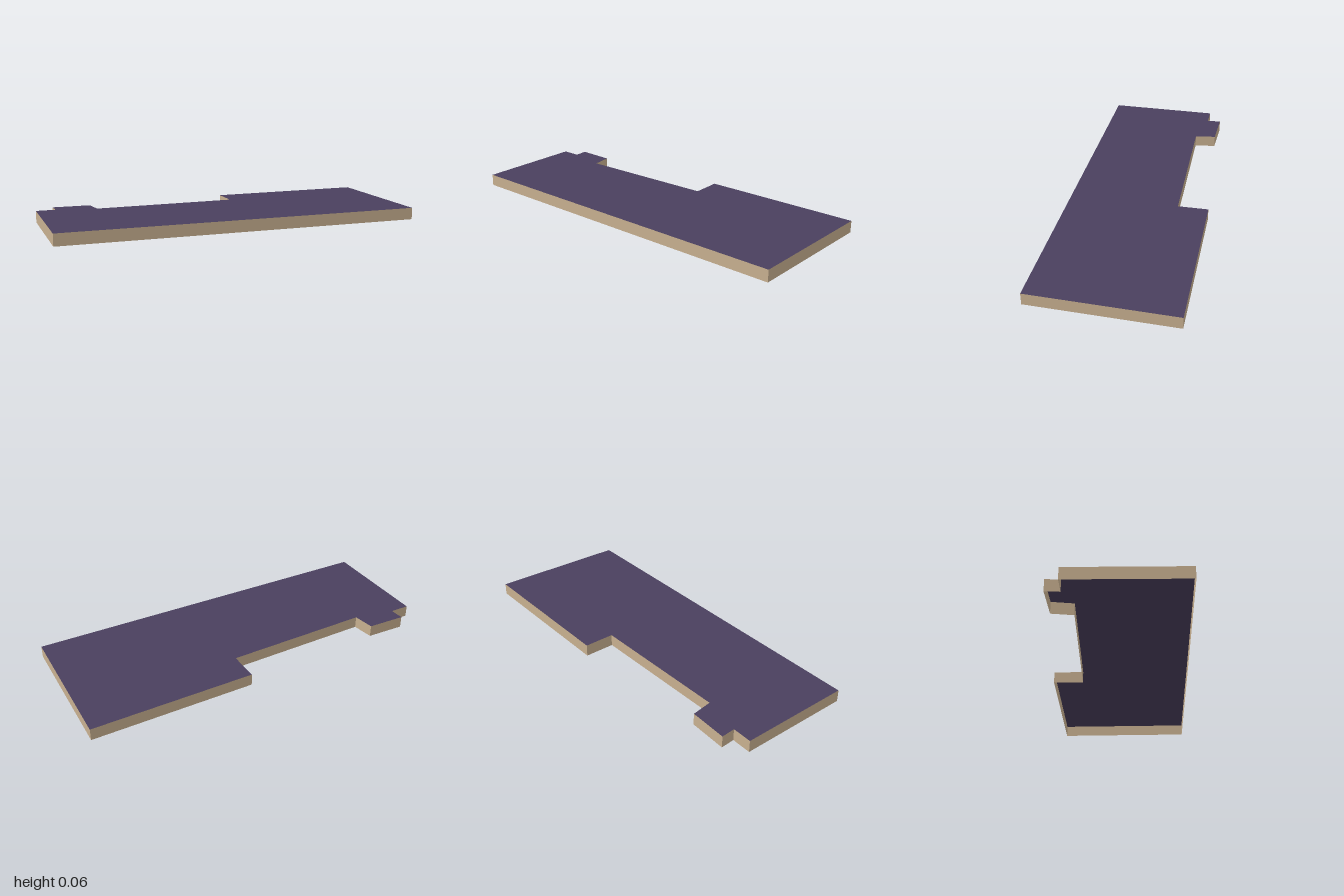
import * as THREE from 'three';

const HEIGHT = 0.062;

// Footprint corners as [x, z], clockwise seen from above
const OUTLINE = [
  [-0.914, -0.418], [-0.813, -0.401], [-0.807, -0.475], [-0.61, -0.437], [-0.61, -0.325],
  [0.144, -0.221], [0.166, -0.378], [1, -0.25], [0.875, 0.475], [-1, 0.163],
];

// Open ring of upright panels, one flat panel per footprint edge
function wallGeometry() {
  const positions = [];
  OUTLINE.forEach(([ax, az], i) => {
    const [bx, bz] = OUTLINE[(i + 1) % OUTLINE.length];
    positions.push(bx, 0, bz, ax, 0, az, ax, HEIGHT, az);
    positions.push(bx, 0, bz, ax, HEIGHT, az, bx, HEIGHT, bz);
  });
  const geometry = new THREE.BufferGeometry();
  geometry.setAttribute('position', new THREE.Float32BufferAttribute(positions, 3));
  geometry.computeVertexNormals();
  return geometry;
}

// Flat sheet covering the footprint
function roofGeometry() {
  const shape = new THREE.Shape(OUTLINE.map(([x, z]) => new THREE.Vector2(x, -z)));
  return new THREE.ShapeGeometry(shape).rotateX(-Math.PI / 2).translate(0, HEIGHT, 0);
}

export function createModel() {
  const wallTan = new THREE.MeshStandardMaterial({ color: 0xc8b090, side: THREE.DoubleSide });
  wallTan.name = 'wallTan';
  const roofPurple = new THREE.MeshStandardMaterial({ color: 0x4a405e, side: THREE.DoubleSide });
  roofPurple.name = 'roofPurple';

  const walls = new THREE.Mesh(wallGeometry(), wallTan);
  walls.name = 'walls';
  const roof = new THREE.Mesh(roofGeometry(), roofPurple);
  roof.name = 'roof';

  const model = new THREE.Group();
  model.name = 'flatRoofBuilding';
  model.add(walls, roof);
  return model;
}
